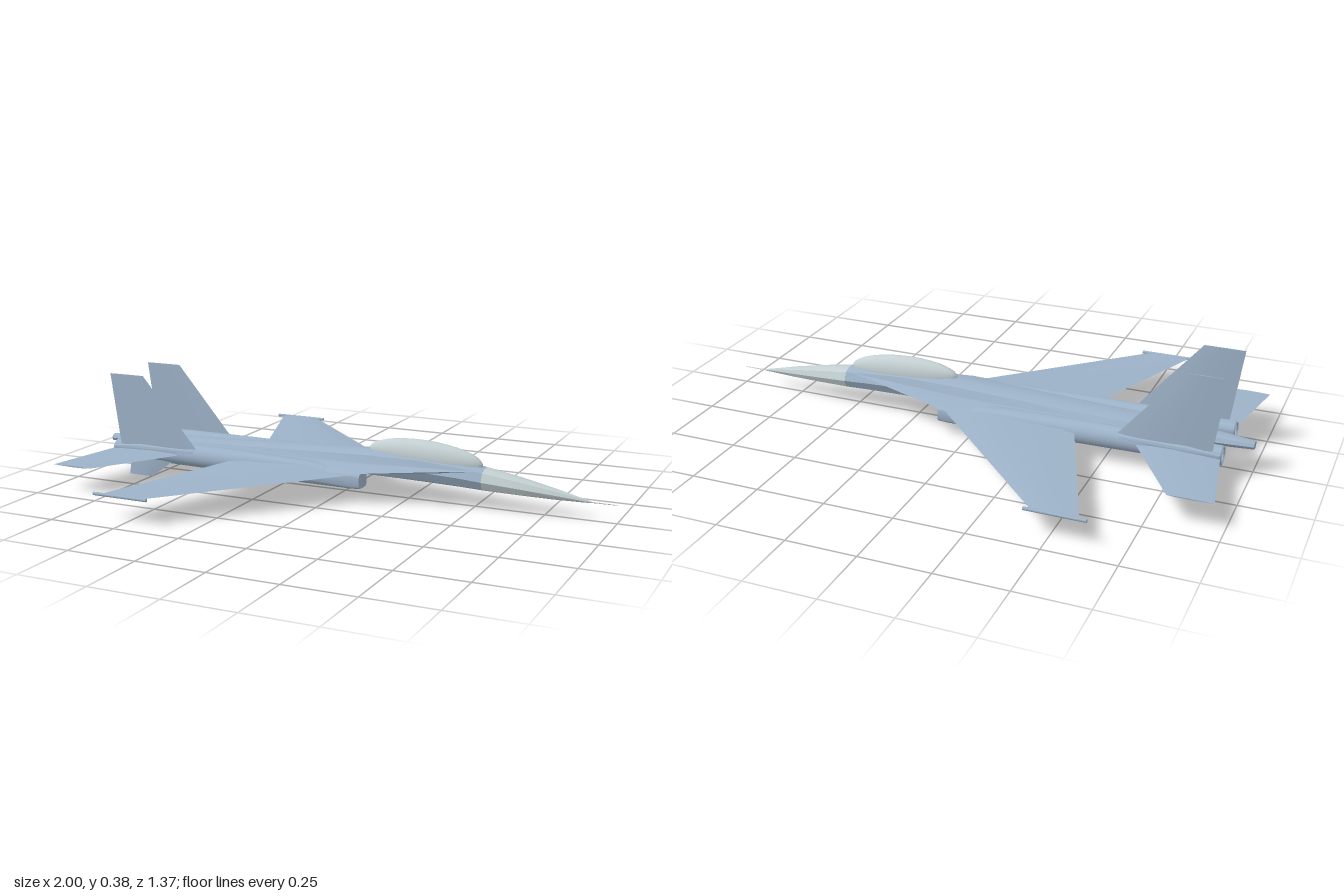
import * as THREE from 'three';
import { toCreasedNormals } from 'three/addons/utils/BufferGeometryUtils.js';

const V = (x, y, z) => new THREE.Vector3(x, y, z);

// Closed loft through rings of equal point count, capped at both ends, always facing outward
function loft(rings, crease = 0.6) {
  const n = rings[0].length;
  const tris = [];
  for (let i = 0; i < rings.length - 1; i++) {
    for (let j = 0; j < n; j++) {
      const k = (j + 1) % n;
      const a = rings[i][j], b = rings[i][k], c = rings[i + 1][k], d = rings[i + 1][j];
      tris.push([a, b, c], [a, c, d]);
    }
  }
  const first = rings[0], last = rings[rings.length - 1];
  for (let j = 1; j < n - 1; j++) {
    tris.push([first[0], first[j + 1], first[j]], [last[0], last[j], last[j + 1]]);
  }
  const centre = rings.flat().reduce((s, p) => s.add(p), V(0, 0, 0)).divideScalar(n * rings.length);
  let volume = 0;
  for (const [a, b, c] of tris) {
    volume += a.clone().sub(centre).dot(b.clone().sub(centre).cross(c.clone().sub(centre)));
  }
  const points = [];
  for (const [a, b, c] of tris) {
    if (volume < 0) points.push(a, c, b); else points.push(a, b, c);
  }
  return toCreasedNormals(new THREE.BufferGeometry().setFromPoints(points), crease);
}

// Symmetric body section: half-width w, with top, widest and bottom heights;
// fullness sets how square the shoulders are
function section([x, w, top, mid, bottom], fullness = 0.75) {
  const f = fullness;
  return [
    V(x, top, -w * 0.3), V(x, top, w * 0.3), V(x, mid + (top - mid) * f, w * f), V(x, mid, w),
    V(x, mid + (bottom - mid) * f, w * f), V(x, bottom, w * 0.3), V(x, bottom, -w * 0.3),
    V(x, mid + (bottom - mid) * f, -w * f), V(x, mid, -w), V(x, mid + (top - mid) * f, -w * f),
  ];
}

// Thin aerofoil section from leading to trailing edge, thickened along an axis
function foil(lead, trail, thick, axis) {
  const at = (t, side) => lead.clone().lerp(trail, t).addScaledVector(axis, side * thick / 2);
  return [at(0, 0), at(0.2, 0.8), at(0.45, 1), at(0.75, 0.6), at(1, 0), at(0.75, -0.6), at(0.45, -1), at(0.2, -0.8)];
}

// Rounded-square engine section
function duct(x, y, z, ry, rz, power) {
  const ring = [];
  for (let i = 0; i < 20; i++) {
    const a = (i / 20) * Math.PI * 2, c = Math.cos(a), s = Math.sin(a);
    ring.push(V(x, y + ry * Math.sign(s) * Math.abs(s) ** power, z + rz * Math.sign(c) * Math.abs(c) ** power));
  }
  return ring;
}

export function createModel() {
  const model = new THREE.Group();
  const blue = new THREE.MeshStandardMaterial({ color: 0x9db2c8 });
  blue.name = 'blue grey paint';
  const pale = new THREE.MeshStandardMaterial({ color: 0xc3cfd2 });
  pale.name = 'pale grey';
  const add = (name, geometry, material = blue) => {
    const mesh = new THREE.Mesh(geometry, material);
    mesh.name = name;
    model.add(mesh);
    return mesh;
  };
  const Y = V(0, 1, 0), Z = V(0, 0, 1);

  // Central fuselage, from the tail sting to the nose joint
  add('fuselage', loft([
    [-1, 0.02, 0.118, 0.105, 0.092],
    [-0.8, 0.048, 0.132, 0.11, 0.088],
    [-0.6, 0.066, 0.141, 0.112, 0.085],
    [-0.2, 0.072, 0.157, 0.118, 0.082],
    [0.1, 0.072, 0.171, 0.12, 0.08],
    [0.3, 0.065, 0.17, 0.12, 0.076],
    [0.45, 0.06, 0.157, 0.113, 0.072],
    [0.535, 0.054, 0.145, 0.105, 0.068],
  ].map((s) => section(s))));

  // Nose cone and probe
  add('noseCone', loft([
    [0.535, 0.054, 0.145, 0.105, 0.068],
    [0.66, 0.041, 0.124, 0.094, 0.065],
    [0.78, 0.024, 0.1, 0.082, 0.063],
    [0.905, 0.003, 0.071, 0.068, 0.064],
  ].map((s) => section(s))), pale);
  const probe = add('noseProbe', new THREE.CylinderGeometry(0.001, 0.0025, 0.11, 8), pale);
  probe.rotation.z = -Math.PI / 2;
  probe.position.set(0.945, 0.067, 0);

  // Bubble canopy
  const canopy = add('canopy', new THREE.SphereGeometry(1, 32, 20), pale);
  canopy.scale.set(0.215, 0.06, 0.042);
  canopy.position.set(0.31, 0.161, 0);
  canopy.rotation.z = -0.05;

  // Flat blended deck with leading-edge strakes
  add('deck', loft([
    [-0.82, 0.12, 0.118, 0.105, 0.095],
    [-0.62, 0.138, 0.123, 0.106, 0.092],
    [-0.41, 0.142, 0.128, 0.107, 0.09],
    [0.02, 0.16, 0.13, 0.11, 0.095],
    [0.1, 0.158, 0.132, 0.113, 0.098],
    [0.27, 0.108, 0.138, 0.124, 0.108],
    [0.42, 0.063, 0.143, 0.133, 0.115],
    [0.5, 0.045, 0.145, 0.138, 0.125],
  ].map((s) => section(s, 0.65))));

  for (const s of [1, -1]) {
    const side = s > 0 ? 'left' : 'right';

    // Engine nacelle: squared intake fairing into a round tail
    add(side + 'Nacelle', loft([
      duct(0.115, 0.079, s * 0.106, 0.027, 0.034, 0.4),
      duct(0.08, 0.08, s * 0.106, 0.03, 0.036, 0.4),
      duct(-0.1, 0.088, s * 0.104, 0.04, 0.038, 0.65),
      duct(-0.4, 0.094, s * 0.102, 0.042, 0.042, 1),
      duct(-0.7, 0.097, s * 0.102, 0.04, 0.041, 1),
      duct(-0.83, 0.097, s * 0.102, 0.037, 0.038, 1),
    ]));

    // Open exhaust nozzle with an inner wall
    const nozzle = add(side + 'Nozzle', new THREE.LatheGeometry([
      [0.034, 0], [0.034, 0.085], [0.03, 0.09], [0.026, 0.085], [0.024, 0.03], [0, 0.03],
    ].map(([r, h]) => new THREE.Vector2(r, h)), 24));
    nozzle.material = blue;
    nozzle.geometry = toCreasedNormals(nozzle.geometry, 0.6);
    nozzle.rotation.z = Math.PI / 2;
    nozzle.position.set(-0.825, 0.097, s * 0.102);

    // Tail boom carrying the fins
    add(side + 'TailBoom', loft([
      duct(-0.91, 0.105, s * 0.136, 0.008, 0.005, 1),
      duct(-0.8, 0.107, s * 0.134, 0.018, 0.01, 1),
      duct(-0.56, 0.11, s * 0.13, 0.014, 0.01, 1),
    ]));

    // Swept wing and wingtip rail
    add(side + 'Wing', loft([
      foil(V(0.11, 0.104, s * 0.125), V(-0.4, 0.104, s * 0.125), 0.026, Y),
      foil(V(0.07, 0.103, s * 0.16), V(-0.41, 0.102, s * 0.16), 0.024, Y),
      foil(V(-0.44, 0.091, s * 0.675), V(-0.6, 0.091, s * 0.675), 0.006, Y),
    ]));
    const rail = add(side + 'WingtipRail', new THREE.CylinderGeometry(0.006, 0.006, 0.21, 12));
    rail.rotation.z = Math.PI / 2;
    rail.position.set(-0.52, 0.091, s * 0.677);

    // Horizontal tailplane
    add(side + 'Tailplane', loft([
      foil(V(-0.615, 0.1, s * 0.13), V(-0.91, 0.1, s * 0.13), 0.016, Y),
      foil(V(-0.81, 0.1, s * 0.442), V(-0.965, 0.1, s * 0.442), 0.005, Y),
    ]));

    // Upright fin and ventral fin
    add(side + 'Fin', loft([
      foil(V(-0.53, 0.1, s * 0.128), V(-0.88, 0.1, s * 0.128), 0.016, Z),
      foil(V(-0.775, 0.387, s * 0.129), V(-0.92, 0.387, s * 0.129), 0.004, Z),
    ]));
    add(side + 'VentralFin', loft([
      foil(V(-0.63, 0.09, s * 0.128), V(-0.835, 0.09, s * 0.128), 0.01, Z),
      foil(V(-0.745, 0.003, s * 0.129), V(-0.848, 0.003, s * 0.129), 0.003, Z),
    ]));
  }
  return model;
}
